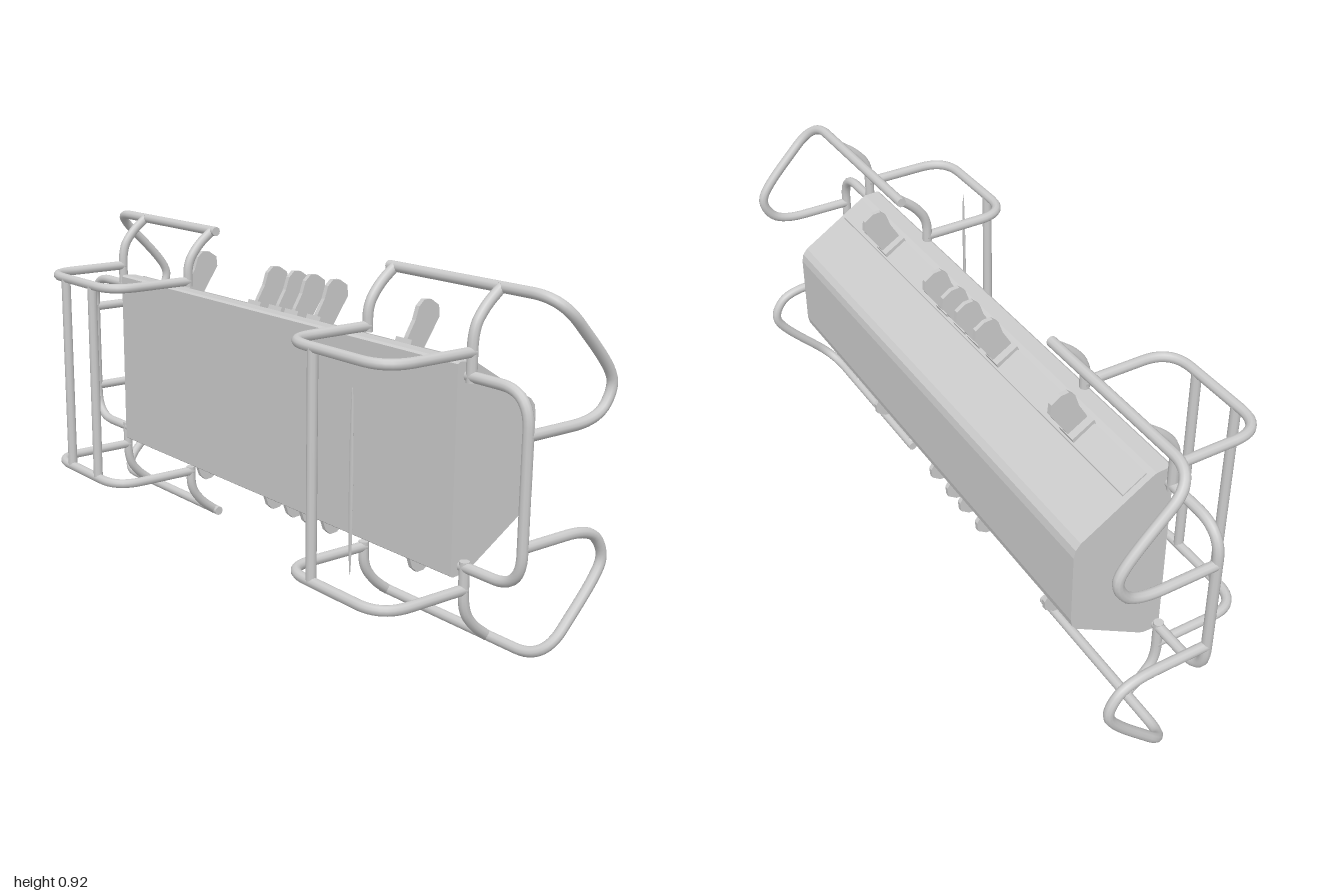
import * as THREE from 'three';

const MID = 0.463; // height of the horizontal symmetry plane
const R = 0.014;   // tube radius
const grey = new THREE.MeshStandardMaterial({ color: 0xcccccc, side: THREE.DoubleSide });

// Mesh helper
function add(parent, name, geometry) {
  const mesh = new THREE.Mesh(geometry, grey);
  mesh.name = name;
  parent.add(mesh);
  return mesh;
}

// Bent tube through corner points, each corner rounded by distance bend
function addTube(parent, name, corners, bend = 0.05, segments = 56) {
  const pts = corners.map((p) => new THREE.Vector3(...p));
  const path = new THREE.CurvePath();
  let from = pts[0];
  for (let i = 1; i < pts.length - 1; i++) {
    const p = pts[i];
    const toward = (q) => {
      const d = p.distanceTo(q);
      return p.clone().lerp(q, Math.min(bend, d * 0.48) / d);
    };
    const a = toward(pts[i - 1]), b = toward(pts[i + 1]);
    path.add(new THREE.LineCurve3(from, a));
    path.add(new THREE.QuadraticBezierCurve3(a, p, b));
    from = b;
  }
  const last = pts[pts.length - 1];
  path.add(new THREE.LineCurve3(from, last));
  const n = pts.length > 2 ? segments : 1;
  add(parent, name, new THREE.TubeGeometry(path, n, R, 10, false));
  // Flat end caps
  [[pts[0], pts[1]], [last, pts[pts.length - 2]]].forEach(([end, next]) => {
    const cap = add(parent, name + 'Cap', new THREE.CircleGeometry(R, 10));
    cap.position.copy(end);
    cap.lookAt(end.clone().multiplyScalar(2).sub(next));
  });
}

// Side profile of [z, y] points extruded along x, centred on x
function sideExtrude(points, width, x = 0) {
  const shape = new THREE.Shape(points.map(([z, y]) => new THREE.Vector2(-z, y)));
  const g = new THREE.ExtrudeGeometry(shape, { depth: width, bevelEnabled: false });
  g.rotateY(Math.PI / 2);
  g.translate(x - width / 2, 0, 0);
  return g;
}

export function createModel() {
  const model = new THREE.Group();

  // Main housing: flat front, chamfered rear with eased corners
  const half = [[0.025, 0.27], [0.018, 0.275], [-0.025, 0.272], [-0.04, 0.265],
    [-0.21, 0.16], [-0.235, 0.145], [-0.249, 0.128], [-0.254, 0.105]];
  const outline = [
    ...half.map(([z, d]) => [z, MID + d]),
    ...half.slice().reverse().map(([z, d]) => [z, MID - d]),
  ];
  add(model, 'housing', sideExtrude(outline, 1.545));

  for (const sy of [1, -1]) {
    const Y = (y) => MID + sy * (y - MID);
    const row = new THREE.Group();
    row.name = sy > 0 ? 'upperControls' : 'lowerControls';
    model.add(row);

    // Thin panel lying on the sloping face
    const flip = (pts) => pts.map(([z, y]) => [z, Y(y)]);
    add(row, 'slopePanel', sideExtrude(flip(
      [[-0.043, 0.722], [-0.043, 0.731], [-0.108, 0.69], [-0.108, 0.68]]), 1.51));

    // Paddle levers with their base blocks
    for (const x of [-0.505, -0.14, -0.04, 0.036, 0.136, 0.505]) {
      add(row, 'leverBase', sideExtrude(flip(
        [[-0.035, 0.72], [-0.044, 0.742], [-0.108, 0.704], [-0.098, 0.68]]), 0.06, x));
      add(row, 'lever', sideExtrude(flip(
        [[-0.04, 0.715], [-0.052, 0.745], [-0.076, 0.785], [-0.088, 0.82], [-0.106, 0.836],
          [-0.13, 0.834], [-0.157, 0.816], [-0.16, 0.785], [-0.128, 0.738],
          [-0.108, 0.708], [-0.09, 0.685]]), 0.014, x));
    }
  }

  for (const sx of [1, -1]) {
    const frame = new THREE.Group();
    frame.name = sx > 0 ? 'leftFrame' : 'rightFrame';
    model.add(frame);

    // Upright side handle
    addTube(frame, 'sideHandle', [[0.785, 0.705], [0.986, 0.705], [0.986, 0.221], [0.785, 0.221]]
      .map(([x, y]) => [sx * x, y, 0.004]), 0.09);

    for (const sy of [1, -1]) {
      const P = ([x, y, z]) => [sx * x, MID + sy * (y - MID), z];

      // Forward hoop
      addTube(frame, 'frontHoop', [[0.798, 0.765, 0], [0.798, 0.765, 0.274],
        [0.418, 0.765, 0.274], [0.418, 0.765, 0]].map(P), 0.09);

      // Curved struts from hoop to outer rail
      for (const [x, y0] of [[0.798, 0.69], [0.418, 0.75]]) {
        addTube(frame, 'curvedStrut', [[x, y0, 0.004], [x, 0.82, 0.004],
          [x, 0.872, -0.034], [x, 0.911, -0.085]].map(P), 0.05, 28);
      }

      // Outer rail wrapping round the end and back to the side handle
      addTube(frame, 'outerRail', [[0.395, 0.911, -0.086], [0.986, 0.911, -0.086],
        [0.986, 0.735, -0.262], [0.986, 0.675, -0.29], [0.986, 0.6, -0.235],
        [0.986, 0.6, 0.004]].map(P), 0.09, 90);
    }

    // Vertical bars joining the upper and lower hoops
    addTube(frame, 'frontBar', [[sx * 0.53, 0.765, 0.274], [sx * 0.53, 0.161, 0.274]]);
    if (sx < 0) {
      addTube(frame, 'frontBar', [[-0.69, 0.765, 0.274], [-0.69, 0.161, 0.274]]);
    } else {
      // Slender, flattened bar
      const sliver = add(frame, 'slenderBar', new THREE.SphereGeometry(1, 8, 12));
      sliver.scale.set(0.008, 0.235, 0.003);
      sliver.position.set(0.68, MID, 0.274);
    }
  }

  return model;
}
